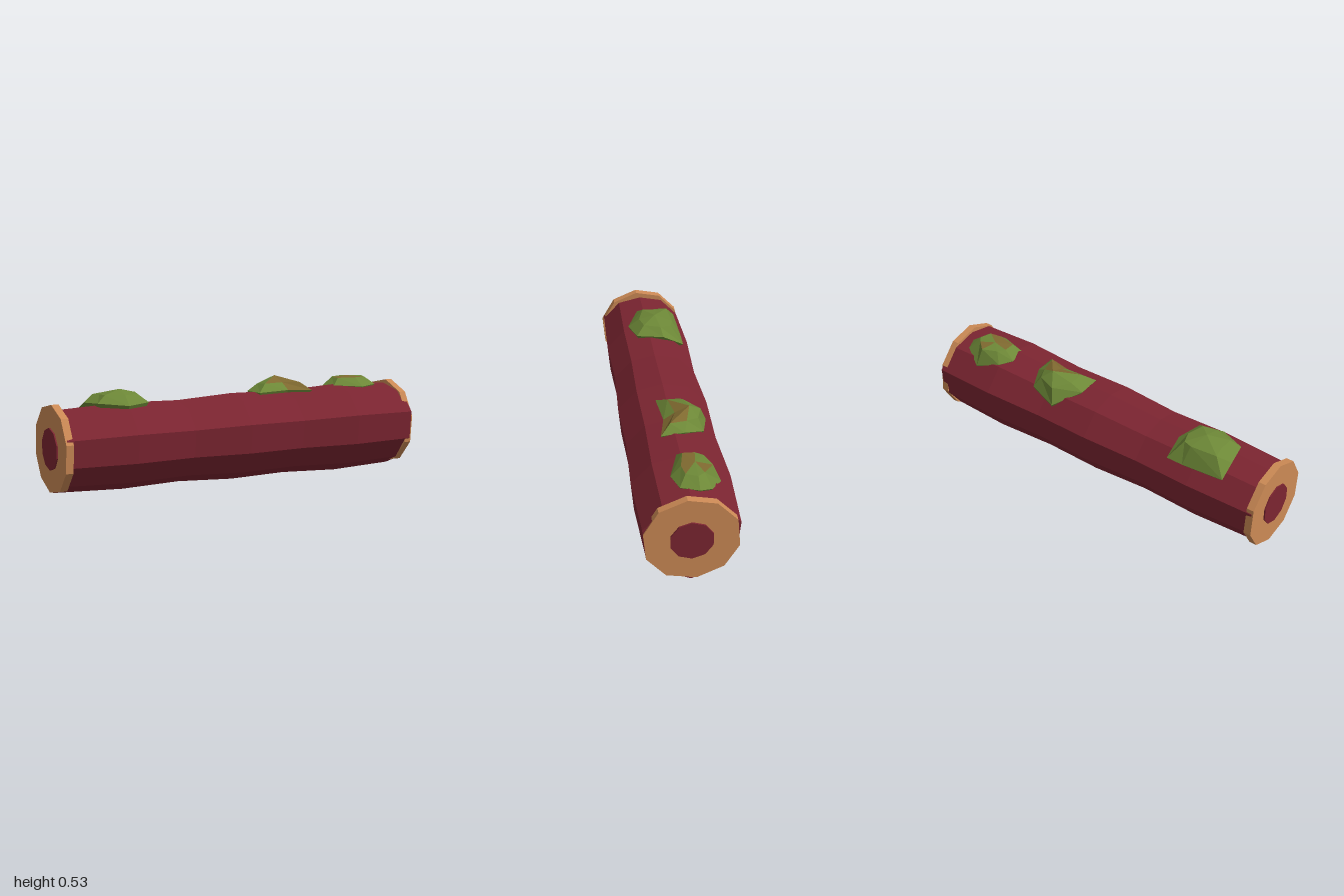
import * as THREE from 'three';

const mat = (name, color) => {
  const m = new THREE.MeshStandardMaterial({ color });
  m.name = name;
  return m;
};

// Triangles to a faceted mesh
function facetMesh(name, tris, material) {
  const g = new THREE.BufferGeometry();
  g.setAttribute('position', new THREE.Float32BufferAttribute(tris.flat(2), 3));
  g.computeVertexNormals();
  const mesh = new THREE.Mesh(g, material);
  mesh.name = name;
  return mesh;
}

const middle = (ring) => [0, 1, 2].map((k) => ring.reduce((s, p) => s + p[k], 0) / ring.length);

// Joins rings of points and closes both ends; pick(level, segment) sorts faces into lists
function loft(rings, peak = middle(rings.at(-1)), pick = () => 0) {
  const lists = [[], []];
  const n = rings[0].length, last = rings.length - 1, base = middle(rings[0]);
  for (let j = 0; j < n; j++) {
    const k = (j + 1) % n;
    lists[0].push([base, rings[0][j], rings[0][k]]);
    for (let i = 0; i < last; i++) {
      const a = rings[i][j], b = rings[i][k], c = rings[i + 1][k], d = rings[i + 1][j];
      lists[pick(i, j)].push([a, d, c], [a, c, b]);
    }
    lists[pick(last, j)].push([peak, rings[last][k], rings[last][j]]);
  }
  return lists;
}

// Cross-section [z, y] scaled about a height and placed at x
const section = (profile, x, s, cy) => profile.map(([z, y]) => [x, cy + (y - cy) * s, z * s]);

export function createModel() {
  const bark = mat('bark red', 0x7c2531);
  const wood = mat('cut wood', 0xcc8a55);
  const moss = mat('moss green', 0x6d8837);
  const dry = mat('dry moss', 0x806a30);
  const group = new THREE.Group();
  group.name = 'mossyLog';

  // Log body, gently swelling along its length
  const half = [[0, 0.004], [0.14, 0.063], [0.227, 0.18], [0.241, 0.335], [0.14, 0.445], [0, 0.476]];
  const logProfile = [...half, ...half.slice(1, -1).reverse().map(([z, y]) => [-z, y])];
  const swell = [[-0.985, 0.86], [-0.62, 0.925], [-0.31, 0.89], [0, 0.96], [0.31, 0.935], [0.64, 1], [0.985, 0.95]];
  group.add(facetMesh('log', loft(swell.map(([x, s]) => section(logProfile, x, s, 0.24)))[0], bark));

  // Cut ends with a dark core
  const capProfile = [[-0.025, 0.025], [0.12, 0.055], [0.213, 0.162], [0.226, 0.306], [0.155, 0.43],
    [0.022, 0.485], [-0.116, 0.455], [-0.213, 0.35], [-0.226, 0.2], [-0.155, 0.082]];
  const coreProfile = Array.from({ length: 10 }, (_, i) => {
    const a = (i / 10) * Math.PI * 2;
    return [0.105 * Math.sin(a), 0.255 - 0.105 * Math.cos(a)];
  });
  for (const [side, x0, x1, s] of [['left', 0.955, 0.992, 1], ['right', -0.993, -0.955, 0.955]]) {
    const cap = loft([x0, x1].map((x) => section(capProfile, x, s, 0.255)))[0];
    group.add(facetMesh(side + 'CutEnd', cap, wood));
    const ends = side === 'left' ? [0.97, 1] : [-1, -0.97];
    group.add(facetMesh(side + 'Core', loft(ends.map((x) => section(coreProfile, x, 1, 0.255)))[0], bark));
  }

  // Height of the log's upper surface at z
  const surface = (z) => {
    const a = Math.abs(z);
    return a < 0.135 ? 0.463 - 0.2 * a : 0.436 - 1.0 * (a - 0.135);
  };

  // Moss clumps: outline [x, z], peak, and the dry faces as level:segment
  const clumps = [
    { peak: [-0.61, 0.522, -0.04], lift: 0.6, dryFaces: [],
      rim: [[-0.79, -0.17], [-0.565, -0.18], [-0.475, -0.18], [-0.47, -0.07], [-0.5, 0.07], [-0.62, 0.105], [-0.76, 0.04], [-0.785, -0.08]] },
    { peak: [0.31, 0.533, -0.09], lift: 0.5, dryFaces: ['2:2', '2:3', '1:3', '2:4'],
      rim: [[0.245, -0.185], [0.395, -0.15], [0.44, -0.05], [0.45, 0.07], [0.32, 0.04], [0.14, 0.055], [0.135, -0.07]] },
    { peak: [0.74, 0.513, -0.05], lift: 0.85, dryFaces: ['2:3', '2:4', '2:5', '2:0'],
      rim: [[0.775, -0.17], [0.88, -0.11], [0.9, -0.05], [0.87, 0.04], [0.77, 0.07], [0.62, 0.02], [0.6, -0.07], [0.65, -0.13]] },
  ];
  clumps.forEach(({ peak, lift, rim, dryFaces }, i) => {
    const [px, py, pz] = peak;
    const ring = (s, height) => rim.map(([x, z], j) => {
      const t = s + (s < 0.8 ? 0.06 * Math.sin(j * 2.4 + i) : 0);
      const nz = pz + (z - pz) * t;
      return [px + (x - px) * t, height(nz), nz];
    });
    const rings = [
      ring(0.85, (z) => surface(z) - 0.03),
      ring(1, (z) => surface(z) + 0.012),
      ring(0.62, (z) => THREE.MathUtils.lerp(surface(z) + 0.012, py, lift)),
    ];
    const [green, brown] = loft(rings, peak, (level, seg) => (dryFaces.includes(level + ':' + seg) ? 1 : 0));
    const clump = new THREE.Group();
    clump.name = 'mossClump' + (i + 1);
    clump.add(facetMesh('mossGreen', green, moss));
    if (brown.length) clump.add(facetMesh('mossDry', brown, dry));
    group.add(clump);
  });
  return group;
}
